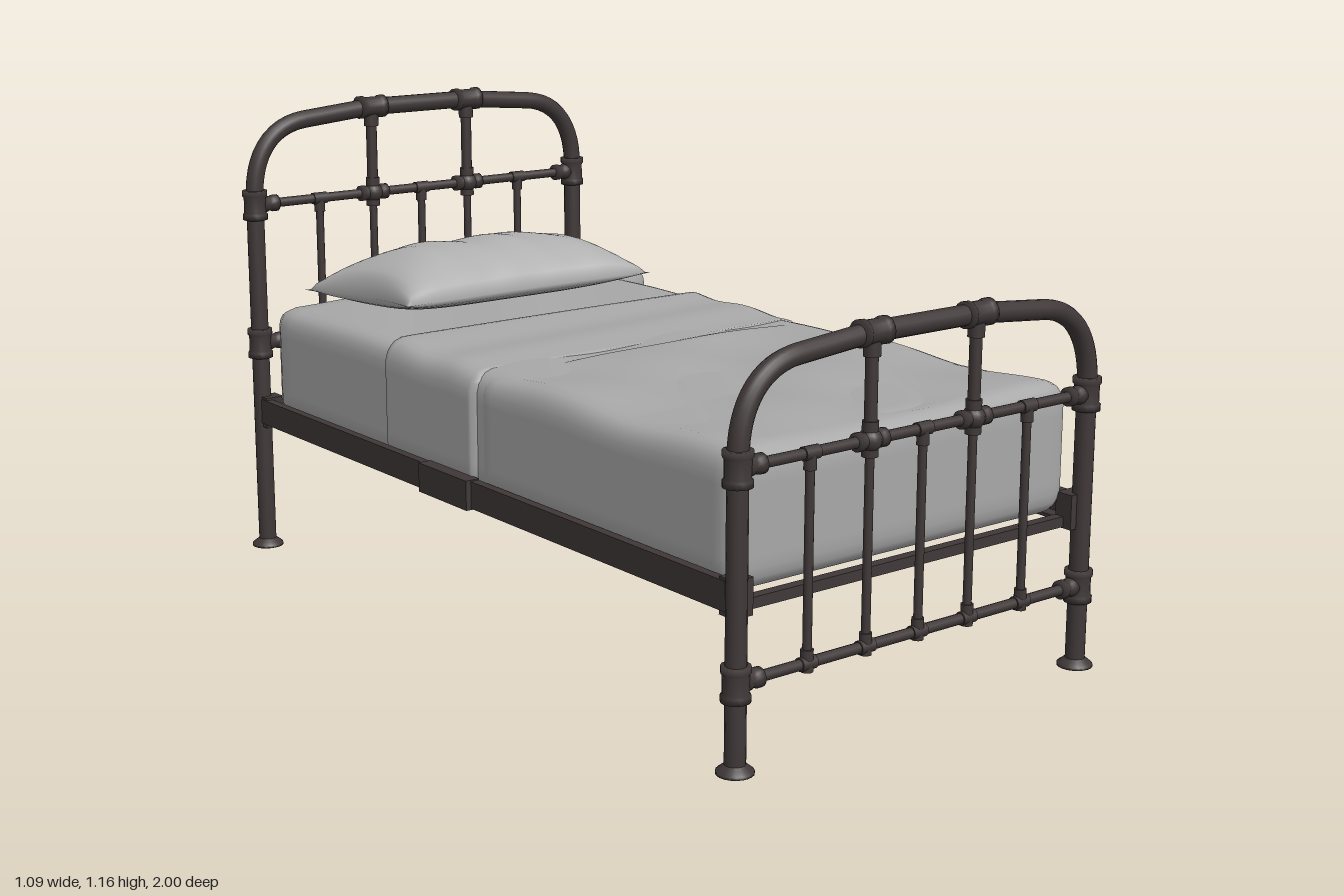
import * as THREE from 'three';
import { mergeVertices } from 'three/addons/utils/BufferGeometryUtils.js';

const metal = new THREE.MeshStandardMaterial({ color: 0x403838 });
metal.name = 'dark iron';
const linen = new THREE.MeshStandardMaterial({ color: 0xa8a8a8 });
linen.name = 'grey linen';
const pillowCloth = new THREE.MeshStandardMaterial({ color: 0xb0b0b0 });
pillowCloth.name = 'light linen';

const HALF = 0.5;                       // post distance from the bed's centre line
const BARS = [-0.312, -0.15, 0, 0.147, 0.312];

function add(parent, name, geometry, material, x = 0, y = 0, z = 0) {
  const mesh = new THREE.Mesh(geometry, material);
  mesh.name = name;
  mesh.position.set(x, y, z);
  parent.add(mesh);
  return mesh;
}

function box(parent, name, w, h, d, x, y, z) {
  return add(parent, name, new THREE.BoxGeometry(w, h, d), metal, x, y, z);
}

// Upright rod between two heights
function upright(parent, name, r, x, y0, y1, sides = 12) {
  return add(parent, name, new THREE.CylinderGeometry(r, r, y1 - y0, sides), metal, x, (y0 + y1) / 2, 0);
}

// Rod along x
function crossRod(parent, name, r, x0, x1, y, sides = 12) {
  const rod = add(parent, name, new THREE.CylinderGeometry(r, r, x1 - x0, sides), metal, (x0 + x1) / 2, y, 0);
  rod.rotation.z = Math.PI / 2;
  return rod;
}

// Cast sleeve with a raised rim at both ends
function sleeve(parent, name, r, length, x, y, alongX = false) {
  const h = length / 2, rim = r * 1.13, e = 0.014;
  const pts = [[0, -h], [rim, -h], [rim, -h + e], [r, -h + e + 0.004], [r, h - e - 0.004], [rim, h - e], [rim, h], [0, h]];
  const mesh = add(parent, name, new THREE.LatheGeometry(pts.map(p => new THREE.Vector2(...p)), 16), metal, x, y, 0);
  if (alongX) mesh.rotation.z = Math.PI / 2;
  return mesh;
}

// Arched end frame: bent tube, cross rods, spindles and cast joints
function endFrame(name, z, top, mid, low) {
  const g = new THREE.Group();
  g.name = name;
  g.position.z = z;
  const v = (x, y) => new THREE.Vector3(x, y, 0);
  const path = new THREE.CurvePath();
  const side = s => [v(s * HALF, 0), v(s * HALF, top - 0.205), v(s * HALF, top - 0.1),
    v(s * 0.45, top - 0.028), v(s * 0.35, top - 0.018), v(s * 0.15, top)];
  const a = side(-1), b = side(1);
  path.add(new THREE.LineCurve3(a[0], a[1]));
  path.add(new THREE.CubicBezierCurve3(a[1], a[2], a[3], a[4]));
  path.add(new THREE.LineCurve3(a[4], a[5]));
  path.add(new THREE.LineCurve3(a[5], b[5]));
  path.add(new THREE.LineCurve3(b[5], b[4]));
  path.add(new THREE.CubicBezierCurve3(b[4], b[3], b[2], b[1]));
  path.add(new THREE.LineCurve3(b[1], b[0]));
  add(g, 'archedTube', new THREE.TubeGeometry(path, 140, 0.0225, 14), metal);

  crossRod(g, 'middleRod', 0.012, -HALF, HALF, mid);
  crossRod(g, 'lowerRod', 0.012, -HALF, HALF, low);

  for (const s of [-1, 1]) {
    for (const y of [mid, low]) {
      sleeve(g, 'postJoint', 0.028, 0.075, s * HALF, y);
      sleeve(g, 'rodSocket', 0.019, 0.045, s * (HALF - 0.04), y, true);
    }
    const foot = [[0, 0], [0.04, 0], [0.04, 0.006], [0.03, 0.014], [0.0225, 0.02]].map(p => new THREE.Vector2(...p));
    add(g, 'footFlange', new THREE.LatheGeometry(foot, 20), metal, s * HALF, 0, 0);
    box(g, 'railBracket', 0.05, 0.08, 0.046, s * (HALF - 0.014), 0.365, -Math.sign(z) * 0.018);
  }

  BARS.forEach((x, i) => {
    upright(g, 'spindle', 0.01, x, low, mid);
    upright(g, 'lowerSpindleSocket', 0.014, x, low - 0.018, low + 0.03);
    upright(g, 'upperSpindleSocket', 0.014, x, mid - 0.035, mid);
    crossRod(g, 'lowerRodCollar', 0.015, x - 0.02, x + 0.02, low);
    if (i % 2) {
      // Two heavier bars continue up to the arch
      upright(g, 'archBar', 0.014, x, mid, top);
      sleeve(g, 'archSleeve', 0.026, 0.075, x, top, true);
      upright(g, 'archBarSocket', 0.019, x, top - 0.05, top);
      add(g, 'crossJoint', new THREE.SphereGeometry(0.026, 16, 12), metal, x, mid, 0);
      sleeve(g, 'crossJointSleeve', 0.018, 0.08, x, mid, true);
      upright(g, 'crossJointNeck', 0.018, x, mid - 0.035, mid + 0.04);
    } else {
      crossRod(g, 'middleRodCollar', 0.015, x - 0.02, x + 0.02, mid);
    }
  });
  return g;
}

// Reshape a geometry by a rule, weld it and smooth it
function mould(geometry, rule) {
  geometry.deleteAttribute('uv');
  geometry.deleteAttribute('normal');
  const pos = geometry.attributes.position, p = new THREE.Vector3();
  for (let i = 0; i < pos.count; i++) {
    rule(p.fromBufferAttribute(pos, i));
    pos.setXYZ(i, p.x, p.y, p.z);
  }
  const welded = mergeVertices(geometry, 1e-4);
  welded.computeVertexNormals();
  return welded;
}

// Padded block with rounded edges; radii may differ per axis
function softBlock(size, radii, segments, wrinkle = () => 0) {
  const half = size.map(s => s / 2);
  return mould(new THREE.BoxGeometry(...size, ...segments), p => {
    const c = p.toArray();
    const inner = c.map((t, i) => Math.max(radii[i] - half[i], Math.min(half[i] - radii[i], t)));
    const d = new THREE.Vector3(...c.map((t, i) => (t - inner[i]) / radii[i])).normalize().toArray();
    p.set(...inner.map((t, i) => t + d[i] * radii[i]));
    if (p.y > 0) p.y += wrinkle(p.x, p.z) * Math.min(1, p.y / half[1]);
  });
}

// Pinched cushion: thin at the seam, corners drawn out, resting at a slight tilt
function pillowGeometry(hw, hd, up, down) {
  return mould(new THREE.BoxGeometry(2, 2, 2, 40, 1, 28), p => {
    const { x: u, y: s, z: w } = p;
    const puff = Math.sqrt(Math.max(0, 1 - u ** 4)) * Math.max(0, 1 - w * w) ** 0.6;
    const ripple = 1 + 0.03 * Math.sin(u * 9 + w * 2) + 0.02 * Math.sin(u * 17 - w * 4);
    p.x = u * hw * (1 - 0.07 * (1 - w * w));
    p.z = w * hd * (1 - 0.08 * (1 - u * u));
    p.y = 0.07 * p.z + (s > 0 ? up * puff * ripple : -down * puff);
  });
}

export function createModel() {
  const bed = new THREE.Group();
  bed.name = 'bed';
  bed.position.x = -0.008;

  bed.add(endFrame('headboard', -0.957, 1.131, 0.905, 0.545));
  bed.add(endFrame('footboard', 0.96, 0.856, 0.632, 0.19));

  // Angle-iron base frame
  const base = new THREE.Group();
  base.name = 'baseFrame';
  bed.add(base);
  for (const s of [-1, 1]) {
    box(base, 'sideRail', 0.022, 0.064, 1.9, s * 0.502, 0.367, 0);
    box(base, 'sideRailLedge', 0.04, 0.008, 1.88, s * 0.478, 0.345, 0);
    box(base, 'railCoupling', 0.036, 0.07, 0.2, s * 0.508, 0.367, -0.06);
    box(base, 'endRail', 0.96, 0.024, 0.025, 0, 0.34, s * 0.93);
  }
  box(base, 'centreBar', 0.98, 0.024, 0.03, 0, 0.347, 0.02);
  box(base, 'secondCentreBar', 0.98, 0.02, 0.016, 0, 0.349, -0.06);

  // Mattress and bedding
  const bedding = new THREE.Group();
  bedding.name = 'bedding';
  bed.add(bedding);
  add(bedding, 'mattress', softBlock([0.965, 0.292, 1.84], [0.05, 0.05, 0.05], [40, 12, 40],
    (x, z) => 0.003 * Math.sin(x * 14 + z * 9)), linen, 0, 0.5, -0.005);
  add(bedding, 'blanket', softBlock([0.975, 0.296, 0.905], [0.055, 0.055, 0.04], [44, 12, 44],
    (x, z) => 0.005 * Math.sin(z * 13 + x * 5 + Math.sin(x * 6)) + 0.003 * Math.sin(x * 15 - z * 10)),
  linen, 0, 0.503, 0.479);
  add(bedding, 'foldedBand', softBlock([0.99, 0.296, 0.39], [0.055, 0.055, 0.008], [44, 12, 30],
    (x, z) => 0.004 * Math.sin(z * 26 + x * 2) - 0.02 * z), linen, 0, 0.506, -0.165);
  add(bedding, 'hangingCloth', softBlock([0.21, 0.262, 0.24], [0.06, 0.05, 0.035], [14, 16, 14],
    (x, z) => 0.003 * Math.sin(z * 40)), linen, 0.448, 0.542, -0.787);
  add(bedding, 'pillow', pillowGeometry(0.372, 0.25, 0.115, 0.045), pillowCloth, -0.01, 0.693, -0.672);

  return bed;
}
